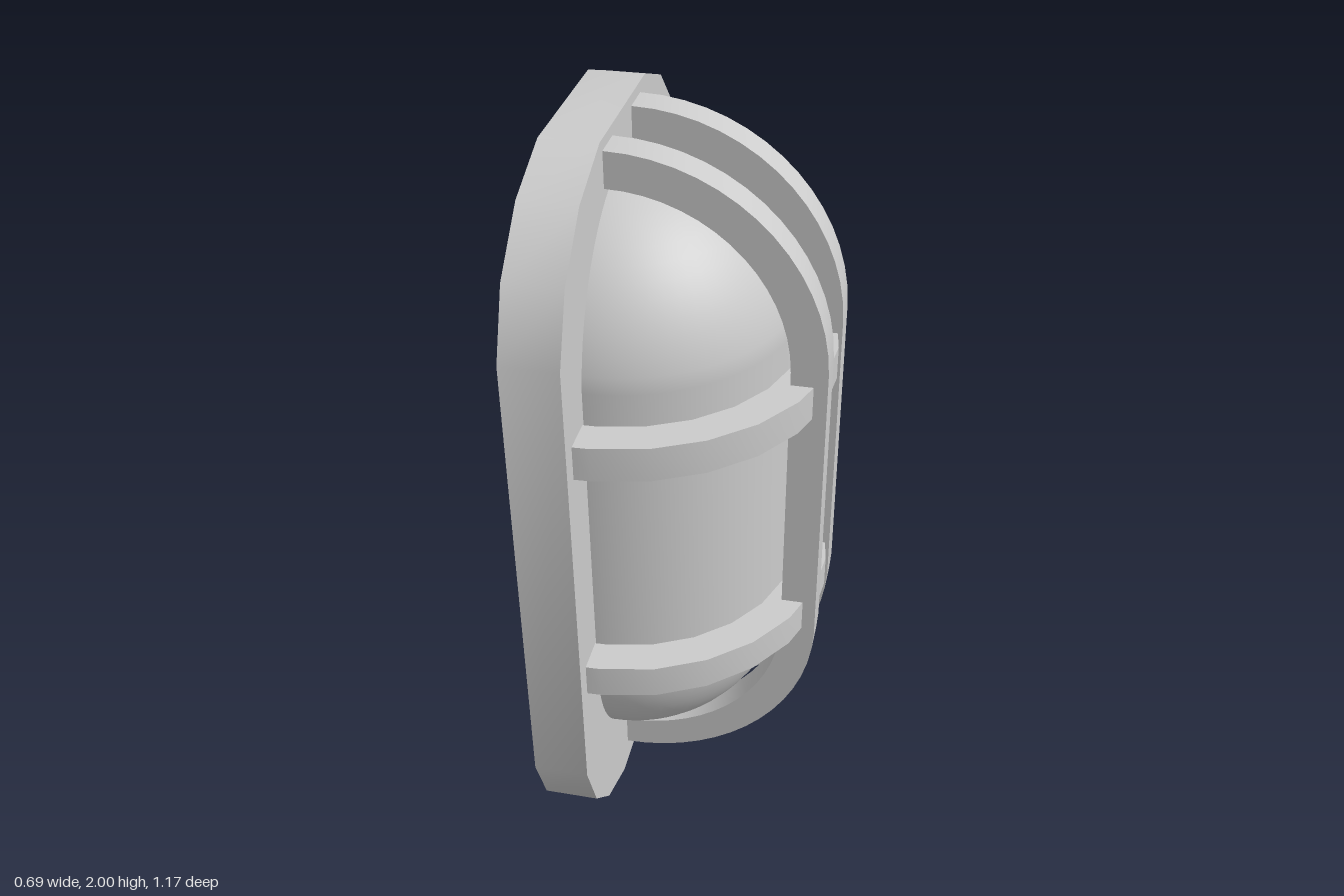
import * as THREE from 'three';
import { toCreasedNormals } from 'three/addons/utils/BufferGeometryUtils.js';

const WALL_X = -0.2;   // front face of the back plate
const MID_Y = 1.025;   // centre height of the globe and guard
const R_IN = 0.45, R_OUT = 0.543;

const material = new THREE.MeshStandardMaterial({ color: 0xcccccc });

function addMesh(group, name, geometry) {
  const mesh = new THREE.Mesh(geometry, material);
  mesh.name = name;
  group.add(mesh);
  return mesh;
}

// Extrudes an outline and smooths its shallow corners
function extrude(points, depth) {
  const geo = new THREE.ExtrudeGeometry(new THREE.Shape(points), { depth, bevelEnabled: false });
  return toCreasedNormals(geo, 0.6);
}

// Half ring band; the halves are pulled apart by a straight run of 2 * half
function band(angles, half) {
  const arc = (r) => angles.map((a) => new THREE.Vector2(
    WALL_X + r * Math.cos(a), r * Math.sin(a) + Math.sign(a) * half));
  return [...arc(R_IN), ...arc(R_OUT).reverse()];
}

export function createModel() {
  const model = new THREE.Group();
  model.name = 'bulkheadLamp';

  // Back plate with chamfered, rounded ends, outline in (z, y)
  const outline = [
    [0.59, 0.36], [0.59, 1.63], [0.52, 1.8], [0.38, 1.93], [0.2, 2], [-0.23, 2],
    [-0.4, 1.935], [-0.52, 1.82], [-0.585, 1.65], [-0.585, 0.36], [-0.51, 0.2],
    [-0.36, 0.07], [-0.19, 0], [0.23, 0], [0.4, 0.07], [0.52, 0.19],
  ].map(([z, y]) => new THREE.Vector2(-z, y));
  const plate = addMesh(model, 'backPlate', extrude(outline, 0.145));
  plate.rotation.y = Math.PI / 2;
  plate.position.x = -0.345;

  // Half-capsule globe
  const r = 0.443, run = 0.415, profile = [];
  for (let i = 0; i <= 32; i++) {
    const a = -Math.PI / 2 + (i % 17) * Math.PI / 32 + (i > 16 ? Math.PI / 2 + Math.PI / 32 : 0);
    profile.push(new THREE.Vector2(Math.max(0, r * Math.cos(a)), r * Math.sin(a) + (i <= 16 ? -run : run)));
  }
  const globe = addMesh(model, 'globe', new THREE.LatheGeometry(profile, 32, 0, Math.PI));
  globe.position.set(WALL_X, MID_Y, 0);

  // Tall guard bars
  const fine = [];
  for (let i = 0; i < 16; i++) fine.push(-Math.PI / 2 + i * Math.PI / 30.4);
  const tall = [...fine, ...fine.map((a) => -a).reverse()];
  for (const z of [0.09, -0.18]) {
    const bar = addMesh(model, 'verticalGuardBar', extrude(band(tall, 0.407), 0.09));
    bar.position.set(0, MID_Y - 0.003, z);
  }

  // Coarser hoops across the globe
  const coarse = [-Math.PI / 2];
  for (let k = 12; k >= 0; k--) coarse.push(THREE.MathUtils.degToRad(90 - 14.65 * k));
  for (const y of [0.62, 1.31]) {
    const hoop = addMesh(model, 'horizontalGuardBar', extrude(band(coarse, 0), 0.092));
    hoop.rotation.x = -Math.PI / 2;
    hoop.position.y = y;
  }
  return model;
}
